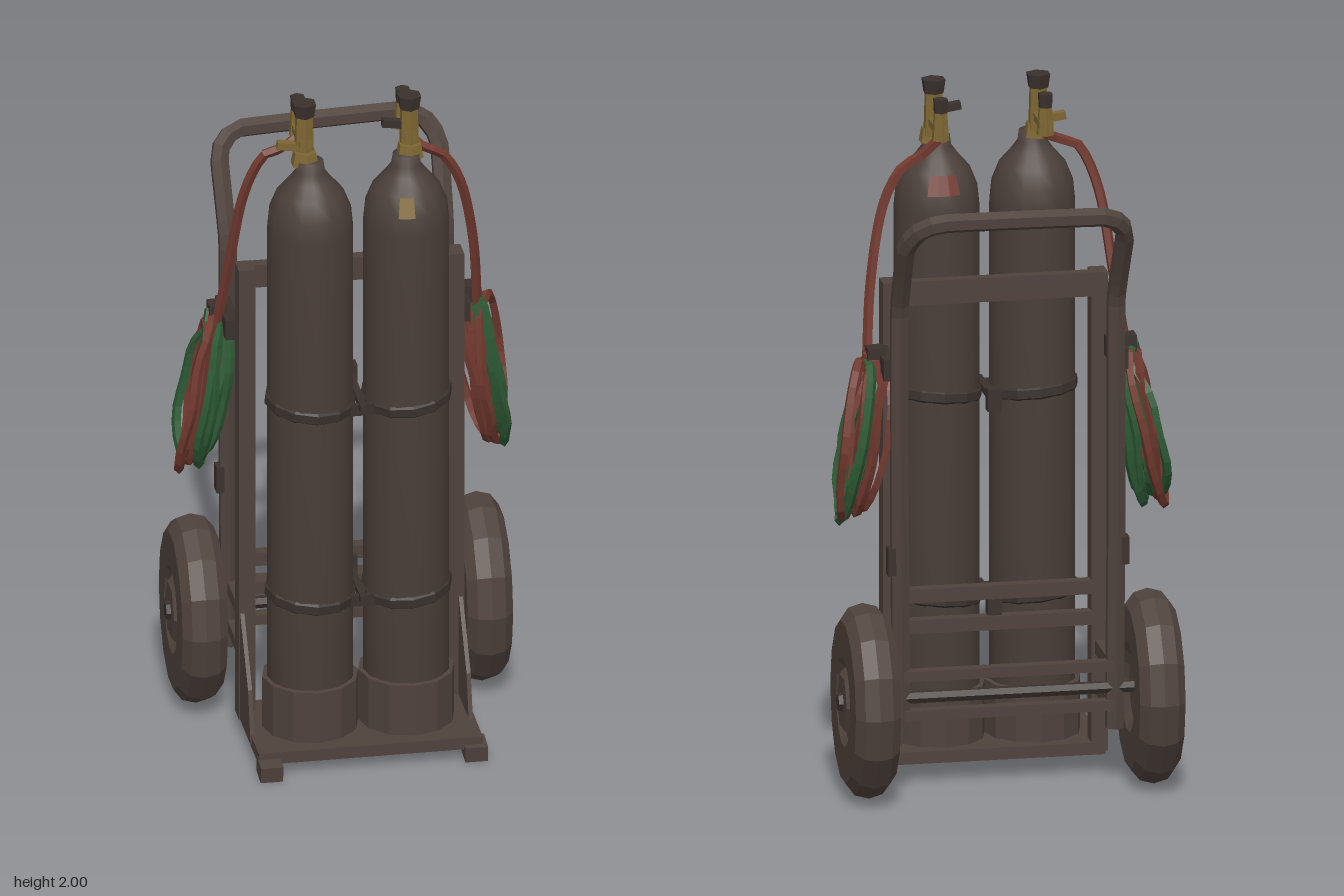
import * as THREE from 'three';

const V = (x, y, z) => new THREE.Vector3(x, y, z);

function material(name, color, flat = false) {
  const m = new THREE.MeshStandardMaterial({ color, flatShading: flat, side: THREE.DoubleSide });
  m.name = name;
  return m;
}

export function createModel() {
  const model = new THREE.Group();
  model.name = 'cylinderTrolley';
  const steel = material('brownSteel', 0x4f423c, true);
  const paint = material('brownTank', 0x4b3f39);
  const dark = material('darkMetal', 0x3a312d, true);
  const brass = material('oldBrass', 0x7d6632, true);
  const red = material('redHose', 0x71392f, true);
  const green = material('greenHose', 0x2d5a35, true);

  // Helpers
  const add = (name, geo, mat, x = 0, y = 0, z = 0, parent = model) => {
    const mesh = new THREE.Mesh(geo, mat);
    mesh.name = name;
    mesh.position.set(x, y, z);
    parent.add(mesh);
    return mesh;
  };
  const box = (name, x0, x1, y0, y1, z0, z1, mat = steel) =>
    add(name, new THREE.BoxGeometry(Math.abs(x1 - x0), y1 - y0, Math.abs(z1 - z0)), mat,
      (x0 + x1) / 2, (y0 + y1) / 2, (z0 + z1) / 2);
  const lathe = (pts, seg, start = 0, len = Math.PI * 2) =>
    new THREE.LatheGeometry(pts.map(p => new THREE.Vector2(p[0], p[1])), seg, start, len);
  const tube = (name, pts, r, mat, { n = 16, sides = 5, closed = false, tension = 0.5 } = {}) =>
    add(name, new THREE.TubeGeometry(
      new THREE.CatmullRomCurve3(pts, closed, 'catmullrom', tension), n, r, sides, closed), mat);
  let seed = 7;
  const rand = () => (seed = (seed * 16807) % 2147483647) / 2147483647 - 0.5;

  // Base plate and feet
  box('basePlate', -0.315, 0.325, 0.04, 0.075, 0.01, 0.355);
  for (const [x, z] of [[-0.285, 0.365], [0.305, 0.335]]) {
    const foot = box('foot', x - 0.032, x + 0.032, 0.008, 0.055, z - 0.035, z + 0.035);
    foot.rotation.x = 0.12;
  }

  // Gas cylinders with cups, straps and valves
  const shoulder = [[0.123, 1.62], [0.117, 1.68], [0.095, 1.735], [0.06, 1.775]];
  const tankZ = 0.178;
  for (const s of [-1, 1]) {
    const x = s * 0.137;
    add('gasCylinder', lathe([[0, 0.076], [0.123, 0.076], ...shoulder, [0.042, 1.8], [0.038, 1.83], [0, 1.83]], 16),
      paint, x, 0, tankZ);
    add('cylinderCup', lathe([[0.137, 0.075], [0.137, 0.23], [0.124, 0.232]], 12), steel, x, 0, tankZ);
    for (const y of [0.49, 1.085]) {
      const strap = add('strap', lathe([[0.123, -0.018], [0.13, -0.012], [0.13, 0.012], [0.123, 0.018]], 12),
        dark, x, y, tankZ);
      strap.rotation.set(0.06, 0, -s * -0.08);
    }

    // Valve: stem, cross body, rear outlet and knobs
    const valve = new THREE.Group();
    valve.name = 'valve';
    valve.position.set(s * 0.15, 0, 0.155);
    model.add(valve);
    const cyl = (name, r0, r1, h, y, z, mat, sides = 6) =>
      add(name, new THREE.CylinderGeometry(r0, r1, h, sides), mat, 0, y, z, valve);
    cyl('valveCollar', 0.034, 0.042, 0.04, 1.835, 0.01, brass);
    cyl('valveStem', 0.026, 0.03, 0.13, 1.9, 0, brass);
    cyl('valveKnob', 0.036, 0.03, 0.04, 1.98, 0, dark);
    const cross = cyl('valveCrossPipe', 0.02, 0.022, 0.15, 1.88, -0.05, brass);
    cross.rotation.x = Math.PI / 2;
    cyl('valveOutlet', 0.02, 0.026, 0.08, 1.89, -0.105, brass);
    cyl('valveOutletCap', 0.022, 0.02, 0.04, 1.95, -0.105, dark);
    const lever = add('valveLever', new THREE.BoxGeometry(0.065, 0.022, 0.025), s > 0 ? dark : brass,
      -0.045, s > 0 ? 1.915 : 1.87, 0, valve);
    lever.rotation.z = -0.15;
  }

  // Painted patches on the shoulders
  const patch = shoulder.slice(1, 3).map(([r, y]) => [r + 0.003, y]);
  add('shoulderLabel', lathe(patch, 2, -0.35, 0.4), brass, 0.137, 0, tankZ);
  add('shoulderMark', lathe(patch, 3, Math.PI - 0.4, 0.8), red, 0.137, 0, tankZ);

  // Clamps between the cylinders
  for (const y of [0.49, 1.085]) {
    box('clampRod', -0.01, 0.01, y - 0.01, y + 0.01, 0.02, 0.27, dark);
    box('clampPlate', -0.035, 0.035, y - 0.03, y + 0.005, 0.235, 0.25, dark);
    box('clampNut', -0.02, 0.02, y - 0.03, y + 0.035, 0.02, 0.06, dark);
  }

  // Upright frame with cross bars
  box('topCrossBar', -0.32, 0.32, 1.38, 1.45, 0.012, 0.045);
  for (const y of [0.42, 0.51]) box('rearCrossBar', -0.3, 0.3, y, y + 0.04, 0.01, 0.045);
  const gusset = new THREE.Shape([[0.02, 0.05], [0.24, 0.05], [0.2, 0.2], [0.075, 0.38], [0.02, 0.38]]
    .map(p => new THREE.Vector2(-p[0], p[1])));
  const gussetGeo = new THREE.ExtrudeGeometry(gusset, { depth: 0.012, bevelEnabled: false })
    .rotateY(Math.PI / 2);
  for (const s of [-1, 1]) {
    box('upright', s * 0.275, s * 0.322, 0.05, 1.45, 0.01, 0.075);
    add('gusset', gussetGeo, steel, s * 0.312 - 0.006, 0, 0);
    box('lowerSideBar', s * 0.285, s * 0.315, 0.335, 0.375, -0.19, 0.02);
    box('lowerSideBar', s * 0.285, s * 0.315, 0.22, 0.255, -0.19, 0.02);
    box('hoseHook', s * 0.31, s * 0.35, 1.21, 1.27, -0.15, 0.02, dark);
    box('hookTip', s * 0.335, s * 0.385, 1.24, 1.29, -0.09, -0.04, dark);
    box('legBracket', s * 0.315, s * 0.345, 0.65, 0.73, -0.19, -0.15, dark);
  }

  // Push handle bent from one pipe
  tube('pushHandle', [
    V(-0.305, 0.17, -0.17), V(-0.31, 0.8, -0.17), V(-0.31, 1.42, -0.17), V(-0.315, 1.65, -0.28),
    V(-0.255, 1.705, -0.315), V(0.2, 1.715, -0.33), V(0.27, 1.7, -0.32), V(0.312, 1.64, -0.28),
    V(0.31, 1.42, -0.17), V(0.31, 0.8, -0.17), V(0.305, 0.17, -0.17),
  ], 0.028, steel, { n: 90, sides: 6, tension: 0.15 });

  // Axle and lower bars
  for (const y of [0.24, 0.355]) box('axleBar', -0.31, 0.31, y - 0.015, y + 0.015, -0.195, -0.16);
  const axle = add('axle', new THREE.CylinderGeometry(0.018, 0.018, 0.84, 6), dark, 0, 0.29, -0.175);
  axle.rotation.z = Math.PI / 2;

  // Wheels, slightly narrower front to back
  const tyre = lathe([[0, -0.04], [0.1, -0.045], [0.13, -0.065], [0.235, -0.066], [0.268, -0.04], [0.279, 0],
    [0.268, 0.04], [0.235, 0.064], [0.13, 0.064], [0.11, 0.048], [0, 0.048]], 14).scale(1, 1, 0.81);
  const hub = new THREE.CylinderGeometry(0.085, 0.11, 0.025, 6).scale(1, 1, 0.85);
  for (const s of [-1, 1]) {
    const wheel = new THREE.Group();
    wheel.name = 'wheel';
    wheel.position.set(s * 0.408, 0.287, -0.174);
    wheel.rotation.z = -s * Math.PI / 2;
    model.add(wheel);
    add('tyre', tyre, steel, 0, 0, 0, wheel);
    add('hub', hub, steel, 0, 0.055, 0, wheel);
    add('axleNut', new THREE.CylinderGeometry(0.025, 0.03, 0.02, 6), dark, 0, 0.07, 0, wheel);
  }

  // Coiled hoses hung on both sides
  for (const s of [-1, 1]) {
    const main = s > 0 ? red : green, other = s > 0 ? green : red;
    for (let i = 0; i < 8; i++) {
      const rz = 0.07 + 0.006 * i, ry = 0.185 + 0.007 * i;
      const cx = 0.395 + rand() * 0.06, skew = rand() * 0.09, lean = 0.035 + rand() * 0.03;
      const pts = [];
      for (let k = 0; k < 12; k++) {
        const a = k / 12 * Math.PI * 2, c = Math.cos(a), d = Math.sin(a);
        pts.push(V(s * (cx - lean * d + skew * c + rand() * 0.016),
          1.02 + ry * d + rand() * 0.015, -0.065 + rz * c + rand() * 0.015));
      }
      tube('hoseCoil', pts, 0.014, i % 3 === 1 ? other : main, { n: 24, sides: 4, closed: true });
    }
    // Wrap holding the coil at its top
    tube('coilWrap', [V(s * 0.35, 1.16, -0.1), V(s * 0.375, 1.27, -0.07), V(s * 0.4, 1.15, -0.03)], 0.018, main,
      { n: 8 });
  }

  // Hoses running from the valves to the coils
  tube('feedHose', [V(-0.15, 1.85, 0.06), V(-0.2, 1.825, 0.075), V(-0.255, 1.8, 0.07), V(-0.305, 1.67, 0.045),
    V(-0.335, 1.45, 0), V(-0.365, 1.22, -0.05)], 0.015, red, { n: 20 });
  tube('feedHose', [V(0.15, 1.85, 0.06), V(0.2, 1.8, 0.075), V(0.265, 1.76, 0.065), V(0.32, 1.65, 0.045),
    V(0.36, 1.45, 0), V(0.38, 1.22, -0.05)], 0.015, red, { n: 20 });

  return model;
}
